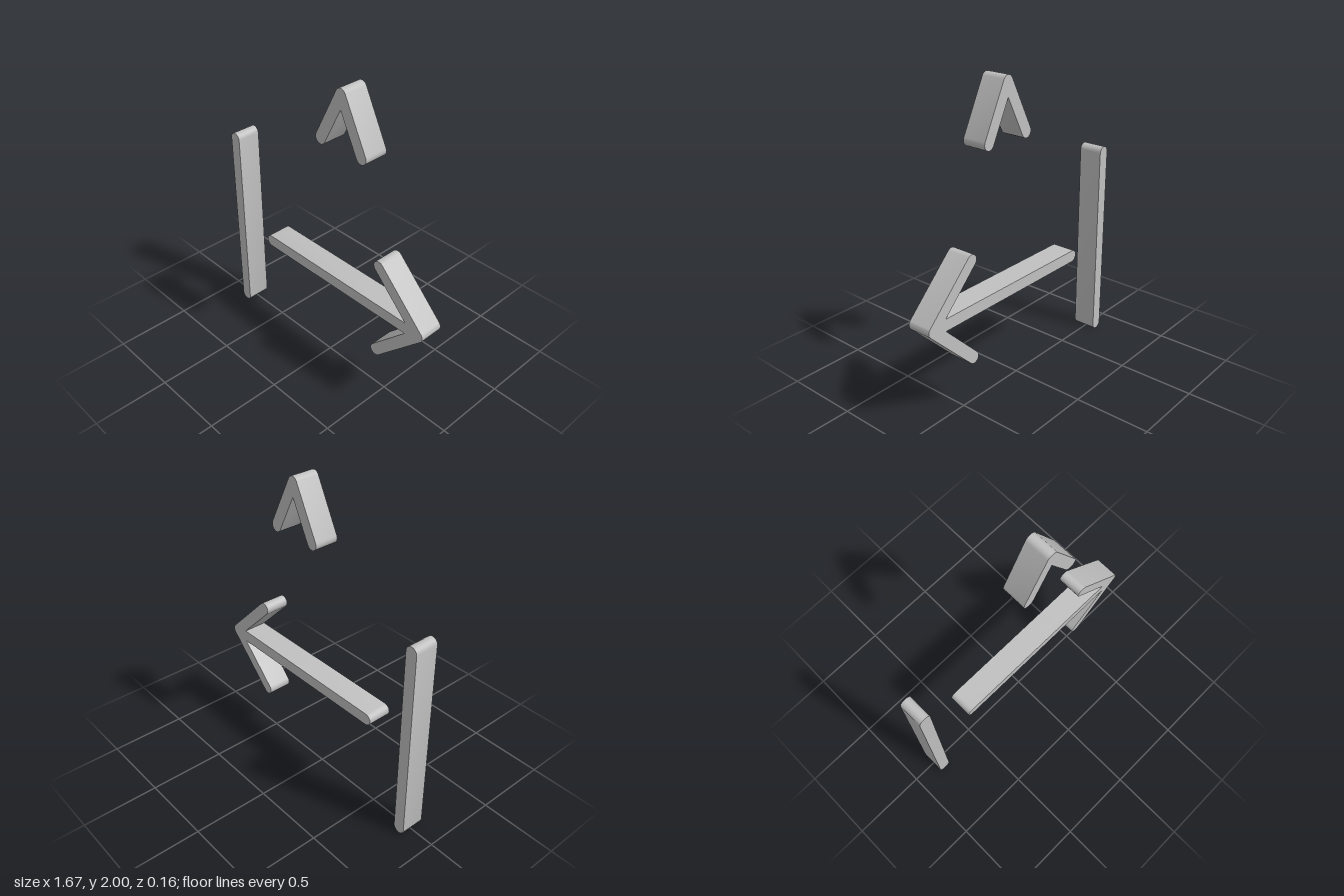
import * as THREE from 'three';
import { toCreasedNormals } from 'three/addons/utils/BufferGeometryUtils.js';

const R = 0.039; // half width of every stroke
const DEPTH = 0.158;
const STEPS = 8; // facets per rounded end

// One clean outline for round-ended strokes running from a hub to each end
function strokeOutline([hx, hy], ends) {
  const arms = ends
    .map(([x, y]) => ({ x, y, a: Math.atan2(y - hy, x - hx) }))
    .sort((p, q) => p.a - q.a);
  const points = [];
  const polar = (cx, cy, r, a) => points.push(new THREE.Vector2(cx + r * Math.cos(a), cy + r * Math.sin(a)));
  const arc = (cx, cy, from, to) => {
    for (let i = 0; i <= STEPS; i++) polar(cx, cy, R, from + ((to - from) * i) / STEPS);
  };
  arms.forEach((arm, i) => {
    // rounded tip
    arc(arm.x, arm.y, arm.a - Math.PI / 2, arm.a + Math.PI / 2);
    // sharp inner corner or rounded outer corner towards the next arm
    const last = i === arms.length - 1;
    const next = arms[(i + 1) % arms.length].a + (last ? Math.PI * 2 : 0);
    const gap = next - arm.a;
    if (gap < Math.PI) polar(hx, hy, R / Math.sin(gap / 2), arm.a + gap / 2);
    else arc(hx, hy, arm.a + Math.PI / 2, next - Math.PI / 2);
  });
  return new THREE.Shape(points);
}

export function createModel() {
  const group = new THREE.Group();
  const grey = new THREE.MeshStandardMaterial({ color: 0xc0c0c0 });
  grey.name = 'light grey';

  const addStroke = (name, hub, ends) => {
    const geometry = new THREE.ExtrudeGeometry(strokeOutline(hub, ends), { depth: DEPTH, bevelEnabled: false });
    geometry.translate(0, 0, -DEPTH / 2);
    const mesh = new THREE.Mesh(toCreasedNormals(geometry, 0.5), grey);
    mesh.name = name;
    group.add(mesh);
  };

  addStroke('uprightBar', [-0.8, 0.039], [[-0.8, 1.32]]);
  addStroke('chevron', [0.16, 1.961], [[0, 1.644], [0.32, 1.644]]);
  // shaft and both barbs meet at the tip
  addStroke('arrow', [0.797, 0.683], [[-0.48, 0.683], [0.48, 1.0], [0.48, 0.366]]);

  return group;
}
